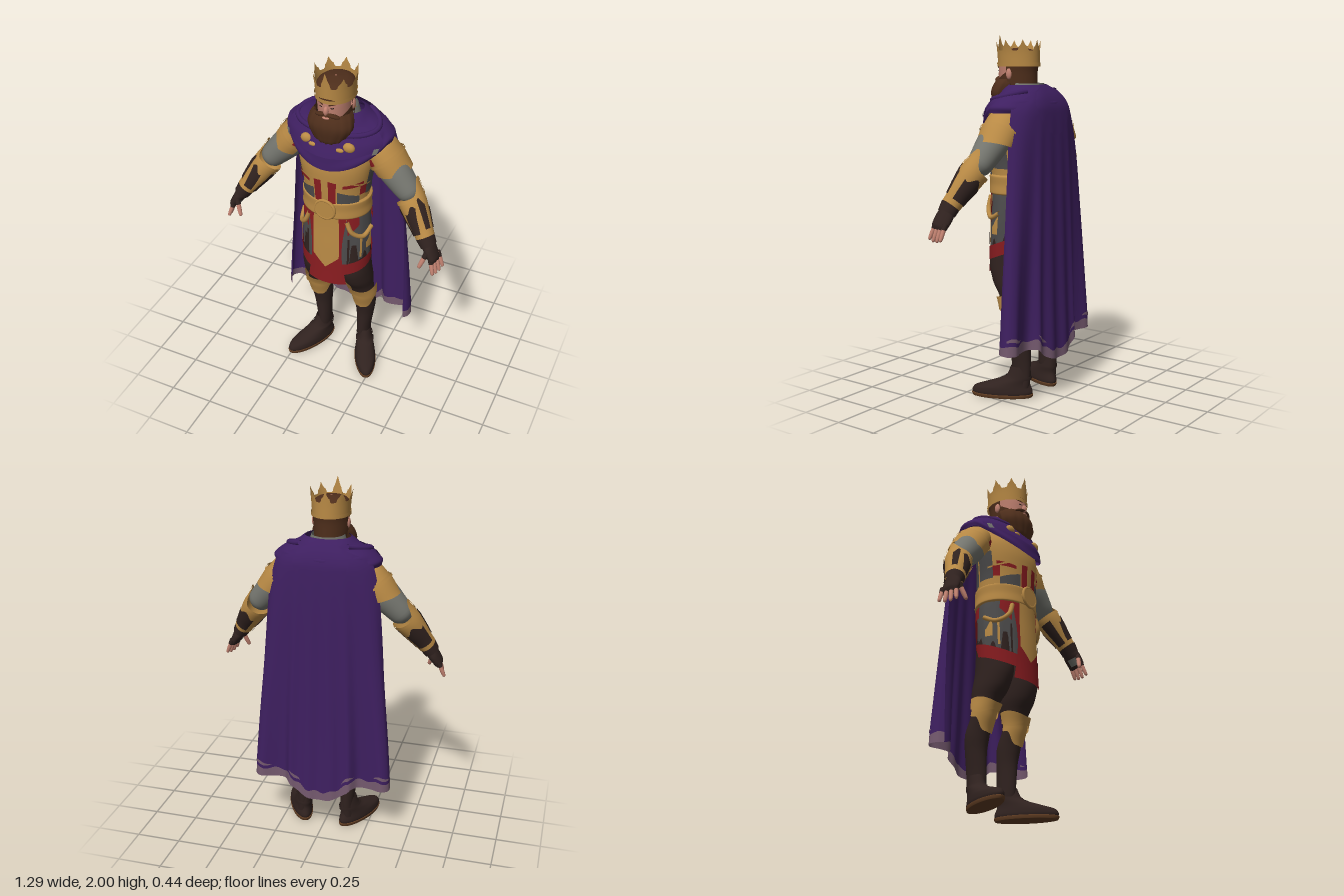
import * as THREE from 'three';
import { mergeVertices } from 'three/addons/utils/BufferGeometryUtils.js';

const paint = (name, color) => {
  const m = new THREE.MeshStandardMaterial({ color, side: THREE.DoubleSide });
  m.name = name;
  return m;
};
const purple = paint('purple cloth', 0x3e1f60), gold = paint('gold', 0xb98a45), leather = paint('dark leather', 0x30221f);
const red = paint('red cloth', 0x891c20), silver = paint('silver mail', 0x75766f), steel = paint('dark steel', 0x4d4c4c);
const skin = paint('skin', 0xc28271), hair = paint('brown hair', 0x4e2e1b), hem = paint('mauve hem', 0x74596e), sole = paint('boot sole', 0x5f3c22);

const { lerp, clamp } = THREE.MathUtils, PI = Math.PI;
const V = (x, y, z) => new THREE.Vector3(x, y, z);
const val = (f, t) => (typeof f === 'function' ? f(t) : f);

// Smooth, overshoot-free interpolation of rows keyed by their first number
function sample(rows, y) {
  const n = rows.length;
  let i = 0;
  while (i < n - 2 && y > rows[i + 1][0]) i++;
  const h = rows[i + 1][0] - rows[i][0], t = clamp((y - rows[i][0]) / h, 0, 1);
  const slope = (j, k) => (rows[j + 1][k] - rows[j][k]) / (rows[j + 1][0] - rows[j][0]);
  const tangent = (j, k) => {
    if (j === 0) return slope(0, k);
    if (j === n - 1) return slope(n - 2, k);
    const a = slope(j - 1, k), b = slope(j, k);
    return a * b <= 0 ? 0 : (2 * a * b) / (a + b);
  };
  return rows[i].map((p, k) => k === 0 ? y
    : p * (1 + 2 * t) * (1 - t) ** 2 + rows[i + 1][k] * t * t * (3 - 2 * t)
      + h * (tangent(i, k) * t * (1 - t) ** 2 + tangent(i + 1, k) * t * t * (t - 1)));
}

// Sheet of points fn(u, v), with u to the right and v upwards seen from outside
function grid(name, fn, nu, nv, mat) {
  const pos = [], idx = [];
  for (let j = 0; j <= nv; j++) for (let i = 0; i <= nu; i++) {
    pos.push(...fn(i / nu, j / nv));
    if (i < nu && j < nv) {
      const a = j * (nu + 1) + i, b = a + nu + 1;
      idx.push(a, a + 1, b + 1, a, b + 1, b);
    }
  }
  let g = new THREE.BufferGeometry();
  g.setAttribute('position', new THREE.Float32BufferAttribute(pos, 3));
  g.setIndex(idx);
  g = mergeVertices(g);
  g.computeVertexNormals();
  const m = new THREE.Mesh(g, mat);
  m.name = name;
  return m;
}

// Cross-sections are [y, centreX, centreZ, radiusX, radiusZ]; angle 0 faces front
function wrap(name, secs, a0, a1, lo, hi, mat, { off = 0, nu = 0, nv = 14, ripple = () => 0 } = {}) {
  nu = nu || Math.max(6, Math.ceil(Math.abs(val(a1, 0) - val(a0, 0)) * 7));
  return grid(name, (u, v) => {
    const a = lerp(val(a0, v), val(a1, v), u), y = lerp(val(lo, a), val(hi, a), v);
    const [, cx, cz, rx, rz] = sample(secs, y), o = off + ripple(a, v);
    return [cx + (rx + o) * Math.sin(a), y, cz + (rz + o) * Math.cos(a)];
  }, nu, nv, mat);
}
const solid = (name, secs, mat, o = {}) =>
  wrap(name, secs, -PI, PI, secs[0][0], secs[secs.length - 1][0], mat, { nv: secs.length * 4, nu: 40, ...o });
const round = rows => rows.map(([y, rx, rz = rx]) => [y, 0, 0, rx, rz]);

function ball(name, x, y, z, rx, ry, rz, mat) {
  const m = new THREE.Mesh(new THREE.SphereGeometry(1, 18, 12), mat);
  m.position.set(x, y, z);
  m.scale.set(rx, ry, rz);
  m.name = name;
  return m;
}
function tube(name, pts, r, mat) {
  const m = new THREE.Mesh(new THREE.TubeGeometry(new THREE.CatmullRomCurve3(pts), 40, r, 8), mat);
  m.name = name;
  return m;
}
// Group whose y axis runs from one joint to the next
function bone(name, from, to, ...parts) {
  const g = new THREE.Group();
  g.name = name;
  g.position.copy(from);
  g.quaternion.setFromUnitVectors(V(0, 1, 0), to.clone().sub(from).normalize());
  return g.add(...parts);
}
// Baked mirror copy across x
function mirrored(src, name) {
  const out = new THREE.Group(), flip = new THREE.Matrix4().makeScale(-1, 1, 1);
  out.name = name;
  src.updateMatrixWorld(true);
  src.traverse(o => {
    if (!o.isMesh) return;
    const g = o.geometry.clone().applyMatrix4(flip.clone().multiply(o.matrixWorld)), ix = g.index.array;
    for (let i = 0; i < ix.length; i += 3) [ix[i], ix[i + 1]] = [ix[i + 1], ix[i]];
    const m = new THREE.Mesh(g, o.material);
    m.name = o.name;
    out.add(m);
  });
  return out;
}

const torso = [[1.08, 0, .05, .18, .14], [1.2, 0, .05, .18, .15], [1.3, 0, .055, .185, .15], [1.42, 0, .06, .205, .15],
  [1.5, 0, .05, .215, .15], [1.6, 0, .02, .2, .13], [1.66, 0, .01, .12, .09], [1.72, 0, .01, .08, .07]];
const skirt = [[.66, 0, .065, .185, .14], [.8, 0, .062, .193, .137], [.95, 0, .058, .198, .137], [1.1, 0, .05, .19, .14], [1.18, 0, .05, .18, .14]];
const mantle = [[1.44, 0, .055, .215, .165], [1.52, 0, .033, .265, .184], [1.6, 0, .005, .295, .175], [1.64, 0, -.005, .275, .16],
  [1.68, 0, -.005, .205, .132], [1.73, 0, .003, .12, .096]];
const head = [[1.6, 0, .03, .07, .07], [1.68, 0, .05, .075, .085], [1.74, 0, .072, .085, .105], [1.8, 0, .074, .088, .108],
  [1.86, 0, .068, .092, .112], [1.895, 0, .065, .09, .108], [1.92, 0, .065, .06, .07], [1.928, 0, .065, .001, .001]];
const beard = [[1.575, 0, .15, .001, .001], [1.585, 0, .15, .045, .03], [1.63, 0, .138, .098, .064], [1.69, 0, .13, .123, .08],
  [1.73, 0, .115, .115, .085], [1.76, 0, .1, .098, .084]];
const crown = [[1.83, 0, .063, .1, .12], [1.9, 0, .065, .105, .122], [2, 0, .067, .125, .126]];
const leg = [[.06, .135, -.045, .035, .05], [.15, .13, -.045, .038, .057], [.3, .137, -.045, .05, .06], [.4, .14, -.035, .062, .066],
  [.5, .14, 0, .065, .06], [.58, .13, .012, .072, .08], [.65, .12, .035, .085, .105], [.75, .112, .055, .088, .113], [.95, .1, .055, .09, .11]];
const foot = [[.015, 0, .105, .058, .165], [.03, 0, .105, .062, .172], [.055, 0, .102, .06, .162], [.08, 0, .07, .054, .122],
  [.12, 0, .014, .045, .07], [.18, 0, 0, .037, .055]];
// Cloak rows are [y, half width, back z, depth]; its fold profile is [u, x, z]
const cloak = [[.22, .4, -.215, .15], [.6, .38, -.2, .12], [1, .35, -.19, .1], [1.4, .312, -.18, .09], [1.6, .268, -.169, .09],
  [1.65, .235, -.155, .085], [1.69, .18, -.133, .07], [1.73, .125, -.1, .05]];
const fold = [[0, 0, 0], [.2, .22, .04], [.4, .42, .08], [.55, .55, .38], [.7, .75, .4], [.82, .91, .27], [.9, 1, .5], [.95, .99, .8], [1, .93, 1]];

// One side of the body: leg, boot, arm and shoulder
function buildLeftSide() {
  const side = new THREE.Group();
  side.name = 'leftLimbs';
  side.add(solid('leg', leg, leather),
    wrap('kneeGuard', leg, -1.9, 1.9, a => .385 + .06 * Math.abs(a) + .012 * Math.cos(5 * a), .56, gold, { off: .01 }),
    wrap('kneeGuardRim', leg, -1.9, 1.9, a => .51 + .012 * Math.cos(3 * a), a => .57 - .012 * Math.cos(2 * a), gold, { off: .018, nv: 5 }));
  const boot = new THREE.Group();
  boot.name = 'boot';
  boot.position.set(.135, 0, -.045);
  boot.rotation.y = .45;
  boot.add(solid('bootUpper', foot, leather),
    solid('bootSole', [[0, 0, .105, .001, .001], [.001, 0, .105, .06, .168], [.02, 0, .105, .064, .175], [.022, 0, .105, .058, .155]], sole),
    wrap('bootCuff', foot, -PI, PI, .105, .125, leather, { off: .006, nv: 4 }));
  side.add(boot);

  // Arm joints
  const shoulder = V(.2, 1.54, 0), elbow = V(.4, 1.32, .03), wrist = V(.54, 1.11, .115), knuckle = V(.595, 1.02, .135);
  side.add(bone('upperArm', elbow, shoulder, solid('armMail', round([[-.05, .03], [-.02, .062], [.05, .075], [.15, .085], [.3, .085]]), silver)));
  const plate = round([[-.04, .086, .098], [.06, .092, .105], [.12, .086, .1], [.17, .062, .078], [.2, .001]]);
  side.add(bone('pauldron', V(.295, 1.43, 0), V(.2, 1.56, 0), solid('shoulderPlate', plate.slice(1), gold),
    wrap('lowerShoulderPlate', plate, -.7, PI + .7, a => -.02 - .03 * Math.sin(a), .07, gold, { off: .004, nv: 7 }),
    wrap('shoulderRim', plate, -.7, PI + .7, .05, .062, gold, { off: .01, nv: 3 }),
    wrap('shoulderRedTrim', plate, -.9, -.2, .07, .11, red, { off: .006, nv: 4 })));
  const fore = round([[-.01, .042, .046], [.05, .048], [.13, .06], [.21, .068], [.3, .064], [.36, .073]]);
  const bracer = (a0, a1, lo, hi) => wrap('bracerLeather', fore, a0, a1, lo, hi, leather, { off: .012, nv: 8 });
  side.add(bone('forearm', wrist, elbow,
    wrap('bracer', fore, -PI, PI, .01, a => .225 + .1 * Math.max(0, Math.sin(a)) ** 6, gold, { off: .007, nu: 40 }),
    wrap('bracerTopRim', fore, -PI, PI, a => .21 + .1 * Math.max(0, Math.sin(a)) ** 6, a => .228 + .1 * Math.max(0, Math.sin(a)) ** 6, gold, { off: .012, nu: 40, nv: 3 }),
    bracer(v => -.7 + .3 * v, v => .15 + .35 * v, .035, a => .17 + .02 * Math.sin(6 * a)), bracer(.75, 1.25, .05, a => .2 + .02 * Math.sin(9 * a)),
    bracer(-1.9, -1.05, .03, .19), bracer(2, 3.6, .04, a => .17 + .02 * Math.sin(5 * a))));
  side.add(bone('hand', knuckle, wrist,
    solid('glove', round([[-.025, .012, .04], [-.012, .024, .05], [.04, .031, .053], [.09, .036, .045], [.14, .04, .045]]), leather),
    wrap('palm', round([[-.012, .024, .05], [.04, .031, .053]]), -2, -.9, -.005, .04, silver, { off: .003, nv: 3 }),
    wrap('gloveCuff', round([[.06, .042, .05], [.12, .05, .055]]), -PI, PI, .07, .12, leather, { nv: 3 })));
  const finger = (name, a, b, r) => {
    const L = a.distanceTo(b);
    side.add(bone(name, b, a, solid(name + 'Tip', round([[0, .001], [.006, r * .75], [L * .5, r], [L, r]]), skin, { nu: 10 }),
      solid(name + 'Glove', round([[L * .75, r * 1.15], [L + .01, r * 1.25]]), leather, { nu: 10, nv: 2 })));
  };
  [0, 1, 2, 3].forEach(i => finger('finger', V(.607 - i * .005, 1.02, .093 + i * .026),
    V(.64 - i * .008, .928 + Math.abs(i - 1.5) * .008, .1 + i * .031), .0115));
  finger('thumb', V(.565, 1.05, .17), V(.535, .965, .195), .013);
  return side;
}

function buildTorso() {
  const g = new THREE.Group();
  g.name = 'torso';
  g.add(solid('breastplate', torso, gold), wrap('breastplateRim', torso, -1.5, 1.5, a => 1.365 + .025 * Math.cos(2 * a), a => 1.375 + .025 * Math.cos(2 * a), gold, { off: .007, nv: 3 }));
  g.add(wrap('backMail', torso, 2, 2 * PI - 2, 1.26, 1.42, steel, { off: .005 }));
  const belt = [[1.135, 0, .05, .182, .145], [1.142, 0, .05, .195, .161], [1.19, 0, .05, .192, .159], [1.238, 0, .05, .195, .161], [1.245, 0, .05, .18, .148]];
  g.add(solid('belt', belt, gold));
  const buckle = new THREE.Mesh(new THREE.CylinderGeometry(.053, .06, .02, 28).rotateX(PI / 2), gold);
  const ring = new THREE.Mesh(new THREE.TorusGeometry(.056, .009, 8, 32), gold);
  buckle.name = 'buckle';
  ring.name = 'buckleRing';
  buckle.position.set(0, 1.195, .208);
  ring.position.set(0, 1.195, .211);
  g.add(buckle, ring);
  // Skirt, tabards and their trim
  const edge = a => .75 + .055 * (1 - Math.cos(a)), o = (off, nv = 8) => ({ off, nv });
  g.add(wrap('skirt', skirt, -PI, PI, edge, 1.17, steel, { ripple: (a, v) => .005 * (1 - v) * Math.cos(12 * a) }),
    wrap('skirtBand', skirt, -PI, PI, a => edge(a) - .005, a => edge(a) + .07, red, o(.009)),
    wrap('frontTabard', skirt, v => -.62 + .18 * Math.sin(v * PI), v => .62 - .18 * Math.sin(v * PI), .685, 1.15, red, o(.012)),
    wrap('tabardPanel', skirt, -.37, .37, a => .8 + .2 * Math.abs(a), 1.15, gold, o(.017)),
    wrap('backTabard', skirt, PI - .6, PI + .6, .85, 1.15, red, o(.014)));
  for (const s of [-1, 1]) {
    const patch = (name, secs, a0, a1, lo, hi, mat, off) =>
      wrap(name, secs, s > 0 ? a0 : -a1, s > 0 ? a1 : -a0, lo, hi, mat, { off, nv: 6 });
    g.add(patch('redStripe', torso, .1, .32, 1.24, a => 1.385 - .03 * Math.abs(a), red, .007),
      patch('steelPatch', torso, .36, 1.05, 1.24, a => 1.335 - .05 * Math.abs(a), steel, .006),
      patch('redSash', torso, .5, 1.15, a => 1.33 + .02 * Math.abs(a), a => 1.345 + .03 * Math.abs(a), red, .006),
      patch('sideMail', torso, 1.3, 1.9, 1.28, 1.44, steel, .006),
      patch('sideRed', torso, 1.05, 1.3, 1.29, 1.35, red, .007),
      patch('hipSash', skirt, .6, 1.0, a => .92 + .17 * Math.abs(a), 1.15, red, .009),
      patch('hipPlate', skirt, 1.25, 1.55, .92, a => .99 + .03 * Math.sin(9 * a), gold, .009),
      patch('skirtStrap', skirt, .6, .66, .83, 1.0, leather, .009),
      patch('skirtGoldTrim', skirt, 1.0, 1.08, .87, 1.0, gold, .009),
      patch('hipRed', skirt, 1.85, 2.4, 1.05, 1.12, red, .009));
    g.add(tube('hipStrap', [V(s * .11, 1.12, .175), V(s * .14, 1.05, .17), V(s * .185, 1.01, .12), V(s * .203, 1.04, .05)], .013, gold));
  }
  return g;
}

function buildCloak() {
  const g = new THREE.Group();
  g.name = 'cloak';
  const bottom = u => .225 + .085 * Math.min(1, (u / .45) ** 2), top = u => 1.73 - .1 * u * u;
  const line = u => bottom(u) + .052 + .007 * Math.sin(31 * u);
  const point = (u, y, out) => {
    const [, w, back, depth] = sample(cloak, y), k = clamp((1.6 - y) / 1.2, 0, 1), b = Math.abs(u);
    const [, fx, fz] = sample(fold, b);
    return [w * Math.sign(u) * lerp(b, fx, k), y,
      back + depth * lerp(b ** 3.5, fz, k) - out + .008 * k * Math.cos(21 * u) * (1 - u ** 4)];
  };
  const piece = (name, y0, y1, w, nv, mat, out = 0) => g.add(grid(name, (s, v) => {
    const u = w * (1 - 2 * s);
    return point(u, lerp(y0(u), y1(u), v), out);
  }, 80, nv, mat));
  piece('capeHem', bottom, line, 1, 4, hem);
  piece('cape', line, top, 1, 40, purple);
  piece('hood', u => 1.465 + .45 * u * u, top, .6, 12, purple, .009);
  // Loose streaks of worn trim above the hem
  [[-.92, -.72], [-.5, -.3], [.25, .45], [.7, .95]].forEach(([a, b]) => g.add(grid('hemStreak', (s, v) => {
    const u = lerp(b, a, s);
    return point(u, line(u) + .022 + .02 * v * Math.sin(s * PI), .003);
  }, 14, 2, hem)));
  // Mantle over the shoulders, with a rolled collar and clasps
  const low = a => 1.455 + .13 * Math.min(1, Math.abs(a) / 1.3) ** 2;
  g.add(wrap('mantle', mantle, -PI, PI, low, 1.73, purple, { nu: 80, nv: 18, ripple: (a, v) => .004 * Math.sin(v * 16 + 2 * Math.cos(2 * a)) }));
  g.add(wrap('mantleFold', mantle, -1.1, 1.1, a => 1.53 + .05 * a * a, 1.68, purple, { off: .008 }));
  g.add(tube('collarRoll', Array.from({ length: 13 }, (_, i) => {
    const a = 2.3 * (i / 6 - 1), h = 1.71 - .035 * (1 + Math.cos(a)), [, , cz, rx, rz] = sample(mantle, h);
    return V(rx * Math.sin(a), h, cz + rz * Math.cos(a));
  }), .015, purple));
  for (const s of [-1, 1]) g.add(ball('clasp', s * .118, 1.59, .168, .034, .028, .022, gold),
    ball('claspTail', s * .075, 1.575, .185, .025, .013, .015, gold),
    wrap('mantleStitch', mantle, s * .95 - .06, s * .95 + .06, 1.56, 1.59, silver, { off: .012, nv: 3 }));
  g.add(wrap('neckMail', [[1.64, 0, 0, .12, .09], [1.75, 0, 0, .085, .085]], -PI, PI, 1.65, 1.738, silver));
  return g;
}

function buildHead() {
  const g = new THREE.Group();
  g.name = 'head';
  g.add(solid('face', head, skin), solid('beard', beard, hair, { ripple: a => .003 * Math.cos(14 * a) }),
    wrap('scalpHair', head, -PI, PI, 1.845, 1.928, hair, { off: .004 }),
    wrap('backHair', head, 1.75, 2 * PI - 1.75, 1.67, 1.87, hair, { off: .01 }),
    ball('nose', 0, 1.785, .183, .014, .026, .017, skin), ball('lip', 0, 1.747, .186, .02, .007, .011, skin));
  for (const s of [-1, 1]) {
    const a = s > 0 ? [.75, 1.6] : [-1.6, -.75];
    g.add(wrap('sideburn', head, ...a, 1.72, t => 1.75 + .06 * (Math.abs(t) - .75), hair, { off: .009 }),
      wrap('templeHair', head, s > 0 ? 1.5 : -1.8, s > 0 ? 1.8 : -1.5, 1.74, 1.86, hair, { off: .007 }),
      ball('ear', s * .094, 1.788, .062, .012, .03, .018, skin),
      wrap('eye', head, s * .35 - .09, s * .35 + .09, 1.801, 1.807, leather, { off: .003, nv: 2 }),
      wrap('eyebrow', head, s * .37 - .2, s * .37 + .2, t => 1.814 + .02 * Math.abs(t), t => 1.821 + .022 * Math.abs(t), hair, { off: .005, nv: 3 }));
    const m = ball('moustache', s * .036, 1.76, .176, .038, .01, .017, hair);
    m.rotation.set(0, s * .4, -s * .3);
    g.add(m);
  }
  // Crown with eight points, the front one tallest
  const point = a => Math.abs(((a / (PI / 4) + 8.5) % 1) - .5) * 2;
  const rim = a => 1.912 + (Math.abs(a) < PI / 8 ? .088 : .058) * Math.max(0, 1 - point(a) * 1.6) ** 1.1 + .012 * Math.max(0, 1 - Math.abs(point(a) - .5) * 5);
  g.add(wrap('crown', crown, -PI, PI, 1.83, rim, gold, { nu: 128, nv: 8 }),
    wrap('crownBand', crown, -PI, PI, 1.828, 1.848, gold, { off: .005, nv: 2 }));
  return g;
}

export function createModel() {
  const model = new THREE.Group(), left = buildLeftSide();
  model.name = 'king';
  model.add(buildTorso(), buildCloak(), buildHead(), mirrored(left, 'rightLimbs'), left);
  return model;
}
